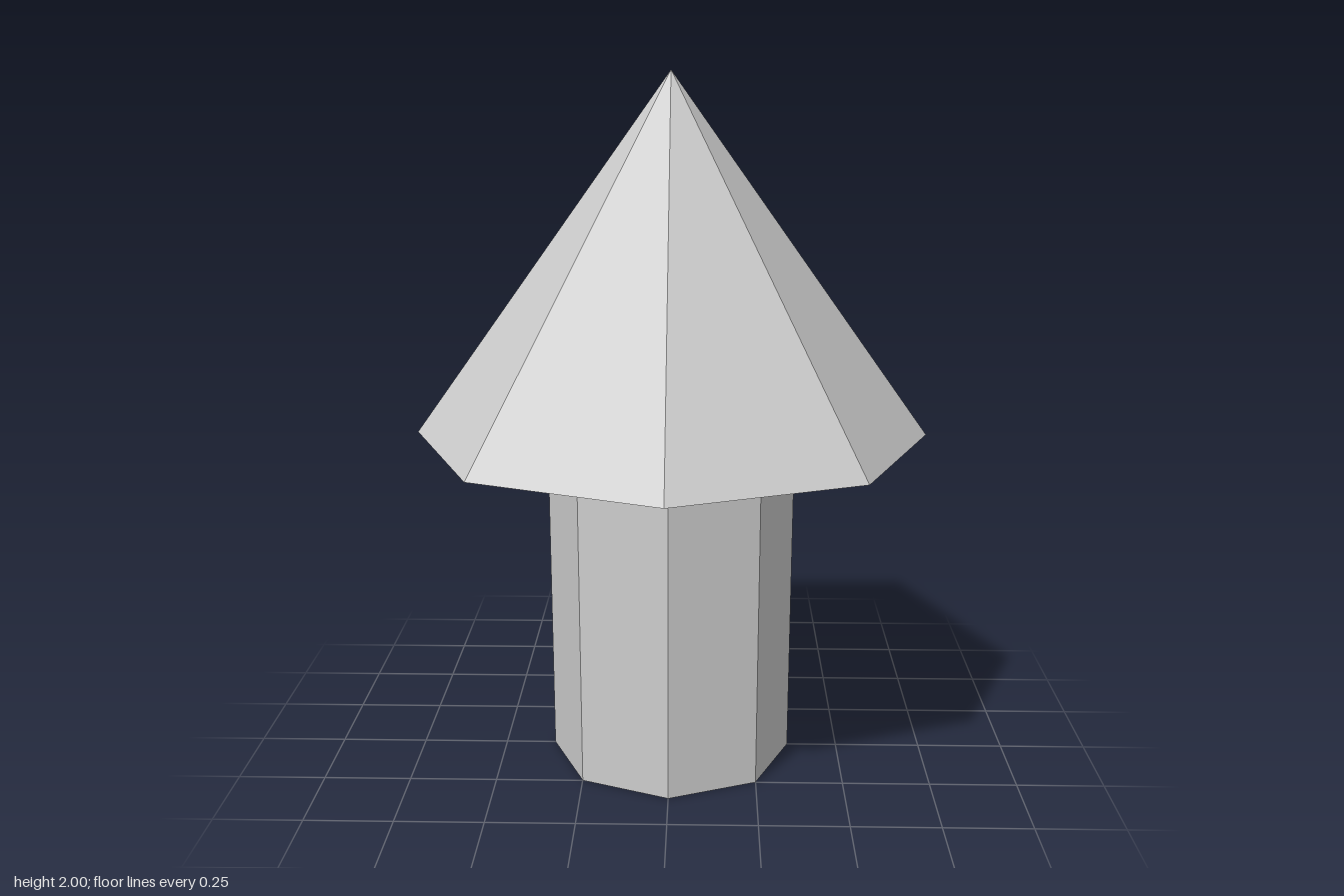
import * as THREE from 'three';

const SIDES = 8;

export function createModel() {
  const model = new THREE.Group();
  model.name = 'arrowMarker';
  const grey = new THREE.MeshStandardMaterial({ color: 0xcccccc });
  grey.name = 'light grey';

  const rimY = 0.975, rimR = 0.735;
  const neckY = 0.96, neckR = 0.358;

  // Eight-sided section between two heights, with real flat normals
  function section(name, rTop, rBottom, yTop, yBottom, open) {
    const geo = new THREE.CylinderGeometry(rTop, rBottom, yTop - yBottom, SIDES, 1, open).toNonIndexed();
    geo.computeVertexNormals();
    const mesh = new THREE.Mesh(geo, grey);
    mesh.name = name;
    mesh.position.y = (yTop + yBottom) / 2;
    model.add(mesh);
  }

  // Pointed head, its shallow sloping underside, and the slightly flared shaft
  section('head', 0, rimR, 2, rimY, true);
  section('headUnderside', rimR, neckR, rimY, neckY, true);
  section('shaft', neckR, 0.353, neckY, 0, false);

  return model;
}
